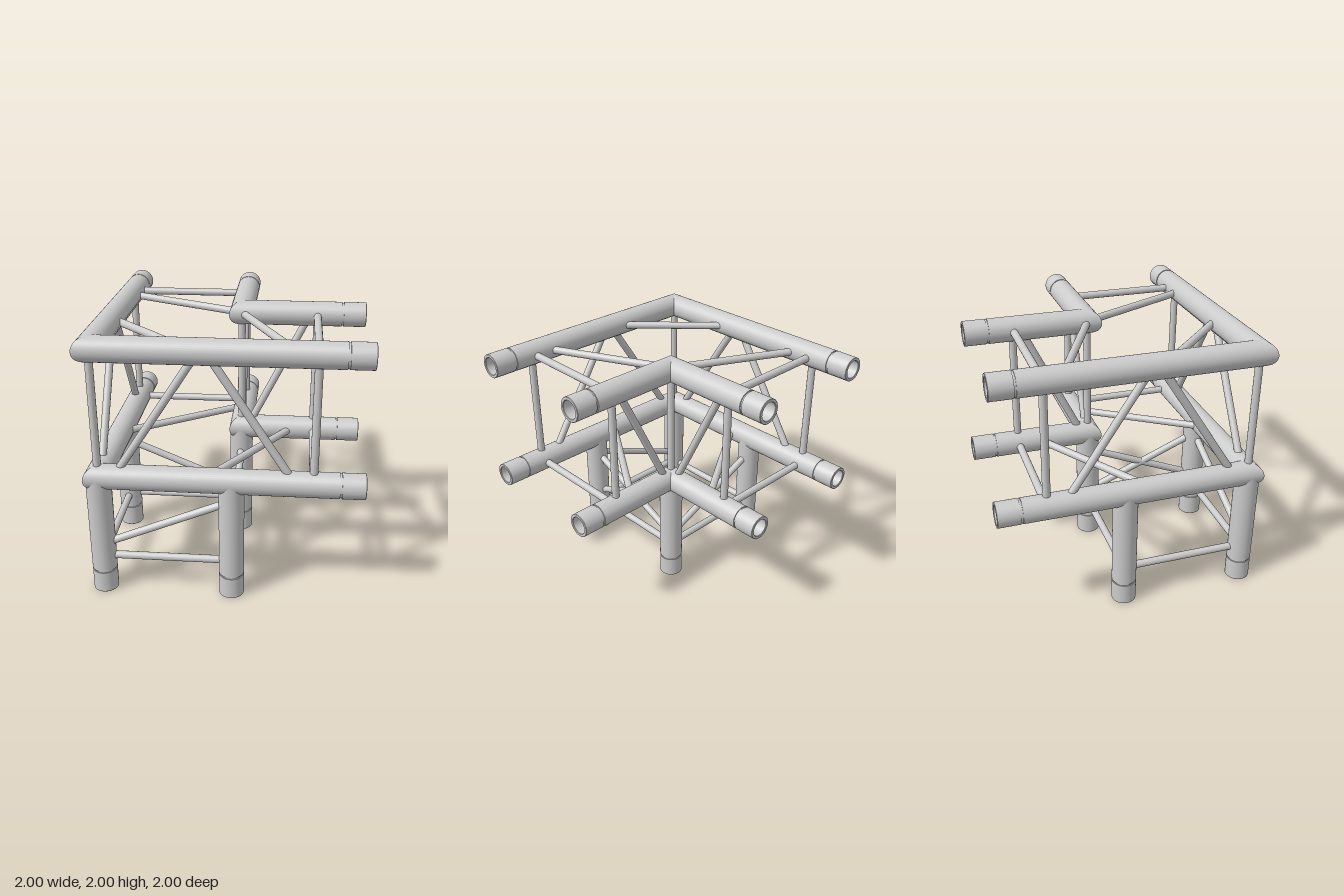
import * as THREE from 'three';
import { toCreasedNormals } from 'three/addons/utils/BufferGeometryUtils.js';

const R = 0.093;                 // main tube radius
const BRACE_R = 0.029;           // brace rod radius
const A = -0.907, B = 0.055;     // outer and inner tube axes in x (z is the negative)
const TOP = 1.907, LOW = 0.945;  // heights of the two chord levels

const material = new THREE.MeshStandardMaterial({ color: 0xcccccc });
const v = (x, y, z) => new THREE.Vector3(x, y, z);

// Tube along local y with a grooved, hollow end; the start can be cut at 45 degrees
function tubeGeometry(length, mitred) {
  const profile = [
    [R, 0], [R, length - 0.181], [R - 0.007, length - 0.181], [R - 0.007, length - 0.168],
    [R, length - 0.168], [R, length - 0.003], [R - 0.003, length], [0.071, length],
    [0.068, length - 0.004], [0.068, length - 0.17], [0, length - 0.17],
  ].map(([r, y]) => new THREE.Vector2(r, y));
  const geometry = new THREE.LatheGeometry(profile, 40);
  if (mitred) {
    const p = geometry.attributes.position;
    for (let i = 0; i < p.count; i++) if (p.getY(i) === 0) p.setY(i, -p.getX(i));
  }
  return toCreasedNormals(geometry, 0.6);
}

export function createModel() {
  const model = new THREE.Group();

  function addTube(name, start, xAxis, yAxis, length, mitred) {
    const mesh = new THREE.Mesh(tubeGeometry(length, mitred), material);
    const zAxis = v().crossVectors(xAxis, yAxis);
    mesh.quaternion.setFromRotationMatrix(new THREE.Matrix4().makeBasis(xAxis, yAxis, zAxis));
    mesh.position.copy(start);
    mesh.name = name;
    model.add(mesh);
  }

  function addBrace(name, from, to) {
    const a = v(...from), b = v(...to);
    const dir = b.clone().sub(a);
    const mesh = new THREE.Mesh(
      new THREE.CylinderGeometry(BRACE_R, BRACE_R, dir.length(), 20, 1, true), material);
    mesh.position.copy(a).add(b).multiplyScalar(0.5);
    mesh.quaternion.setFromUnitVectors(v(0, 1, 0), dir.normalize());
    mesh.name = name;
    model.add(mesh);
  }

  // The frame is symmetric about the diagonal plane x = -z
  const swap = ([x, y, z]) => [-z, y, -x];
  function addBracePair(name, from, to) {
    addBrace(name, from, to);
    addBrace(name, swap(from), swap(to));
  }

  // Mitred corner chords: outer and inner corner on both levels
  for (const y of [LOW, TOP]) {
    for (const [c, label] of [[A, 'outer'], [B, 'inner']]) {
      const corner = v(c, y, -c);
      addTube(label + 'ChordLeft', corner, v(0, 0, 1), v(1, 0, 0), 1 - c, true);
      addTube(label + 'ChordBack', corner, v(-1, 0, 0), v(0, 0, -1), 1 - c, true);
    }
  }

  // Four legs
  for (const x of [A, B])
    for (const z of [-A, -B])
      addTube('leg', v(x, LOW, z), v(1, 0, 0), v(0, -1, 0), LOW, false);

  // Posts between the two chord levels
  for (const c of [A, B]) {
    addBrace('cornerPost', [c, LOW, -c], [c, TOP, -c]);
    addBracePair('endPost', [0.635, LOW, -c], [0.635, TOP, -c]);
  }

  // Upright diagonals in the outer and inner faces
  addBracePair('outerDiagonal', [-0.793, LOW, -A], [-0.168, TOP, -A]);
  addBracePair('outerDiagonal', [-0.116, TOP, -A], [0.505, LOW, -A]);
  addBracePair('innerDiagonal', [0.106, LOW, -B], [0.581, TOP, -B]);

  // Horizontal rungs near the open ends
  for (const y of [LOW, TOP]) addBracePair('endRung', [0.635, y, -A], [0.635, y, -B]);

  // Horizontal diagonals
  addBracePair('topDiagonal', [A, TOP, -0.508], [B, TOP, -0.045]);
  addBrace('topCornerBrace', [A, TOP, 0.207], [-0.207, TOP, -A]);
  addBracePair('lowerDiagonal', [A, LOW, 0.154], [B, LOW, -0.478]);

  // Leg bracing: a rung and one diagonal per face
  for (const c of [A, B]) addBracePair('legRung', [A, 0.282, -c], [B, 0.282, -c]);
  addBracePair('legDiagonal', [A, 0.78, -B], [B, 0.375, -B]);
  addBrace('legDiagonal', [A, 0.375, -A], [B, 0.78, -A]);
  addBrace('legDiagonal', [B, 0.375, -A], [B, 0.78, -B]);

  // Remaining side face
  model.children
    .filter((m) => m.name === 'legDiagonal' && m.position.x > 0 && m.position.z > 0.1)
    .forEach((m) => { m.name = 'legSideDiagonal'; });

  return model;
}
